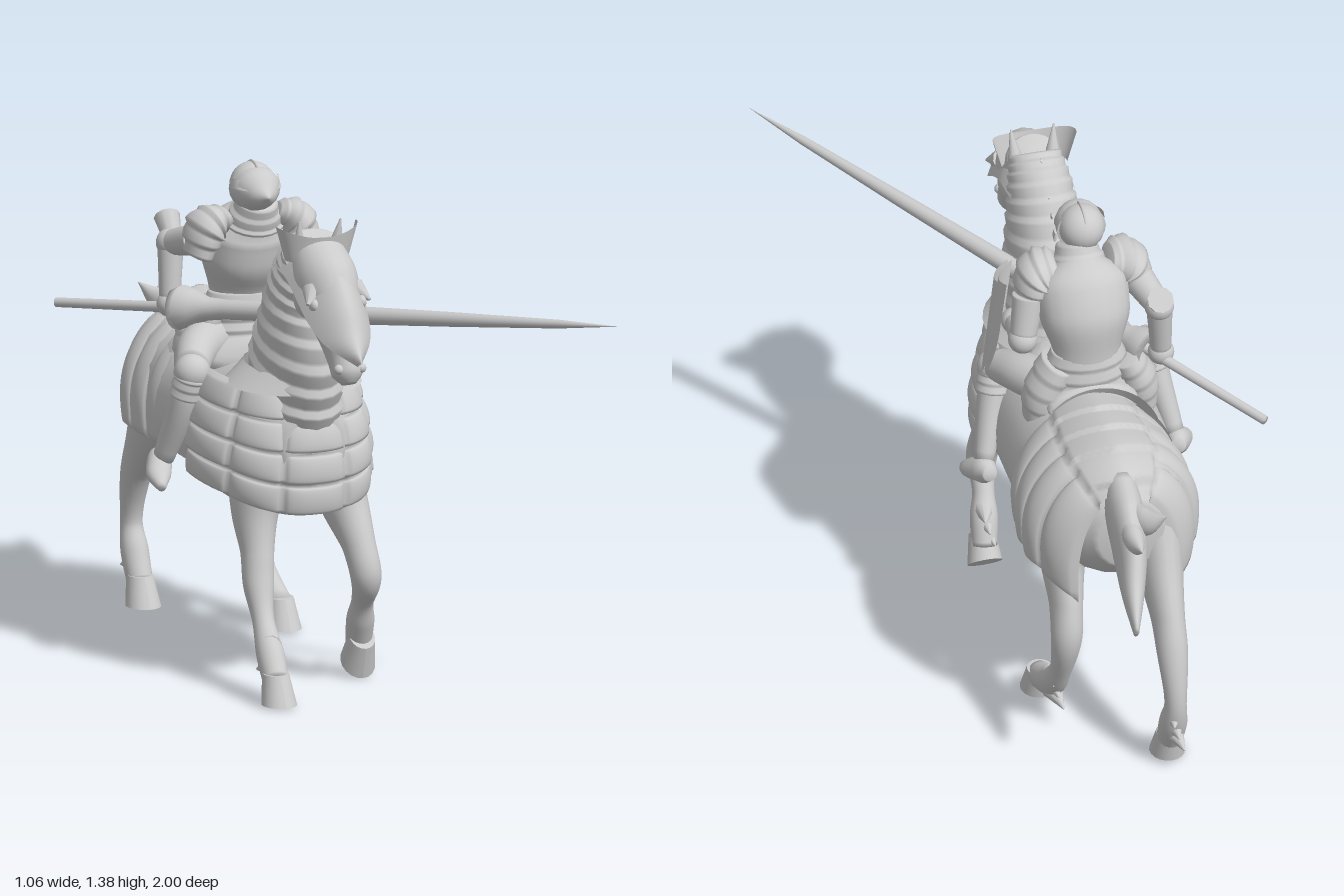
import * as THREE from 'three';

const CX = -0.115; // centre line of horse and rider
const mat = new THREE.MeshStandardMaterial({ color: 0xcccccc });
const thin = new THREE.MeshStandardMaterial({ color: 0xcccccc, side: THREE.DoubleSide });
const V = (x, y, z) => new THREE.Vector3(x, y, z);
const puff = (t, e = 0.35) => Math.pow(Math.abs(Math.sin(t * Math.PI)), e); // cushion between seams
const power = (t, e) => Math.sign(t) * Math.abs(t) ** e;

export function createModel() {
  const model = new THREE.Group();

  function add(name, geo, material = mat) {
    const m = new THREE.Mesh(geo, material);
    m.name = name;
    model.add(m);
    return m;
  }
  function build(pos, idx) {
    const g = new THREE.BufferGeometry();
    g.setAttribute('position', new THREE.Float32BufferAttribute(pos, 3));
    g.setIndex(idx);
    g.computeVertexNormals();
    return g;
  }

  // Elliptical tube through points [x, y, z, side radius, other radius]; ribs make overlapping bands
  function limb(name, pts, ribs = 0, amp = 0.08) {
    const sides = 20, path = new THREE.CatmullRomCurve3(pts.map(p => V(p[0], p[1], p[2])));
    const radii = new THREE.CatmullRomCurve3(pts.map(p => V(p[3], p[4] ?? p[3], 0)));
    const n = ribs ? ribs * 6 : (pts.length - 1) * 6, pos = [], idx = [];
    for (let i = 0; i <= n; i++) {
      const t = i / n, c = path.getPoint(t), r = radii.getPoint(t), d = path.getTangent(t);
      const side = V(1, 0, 0).addScaledVector(d, -d.x).normalize(), up = d.clone().cross(side);
      const k = ribs ? 1 + amp * ((i % 6) / 5 - 0.5) : 1;
      for (let j = 0; j < sides; j++) {
        const a = j / sides * Math.PI * 2;
        const p = c.clone().addScaledVector(side, Math.cos(a) * r.x * k).addScaledVector(up, Math.sin(a) * r.y * k);
        pos.push(p.x, p.y, p.z);
        if (i < n) {
          const A = i * sides + j, B = i * sides + (j + 1) % sides;
          idx.push(A, B, A + sides, B, B + sides, A + sides);
        }
      }
    }
    for (const e of [0, 1]) { // end caps
      const c = path.getPoint(e), k = pos.length / 3, o = e * n * sides;
      pos.push(c.x, c.y, c.z);
      for (let j = 0; j < sides; j++) {
        const A = o + j, B = o + (j + 1) % sides;
        idx.push(...(e ? [A, B, k] : [B, A, k]));
      }
    }
    return add(name, build(pos, idx));
  }
  // Limb on the centre line, points [y, z, side radius, other radius]
  const trunk = (name, pts, ribs) => limb(name, pts.map(p => [CX, ...p]), ribs);

  // Open surface from a function of u and v in 0..1
  function sheet(name, nu, nv, f) {
    const pos = [], idx = [], w = nu + 1;
    for (let j = 0; j <= nv; j++) for (let i = 0; i <= nu; i++) {
      pos.push(...f(i / nu, j / nv));
      if (i < nu && j < nv) {
        const a = j * w + i;
        idx.push(a, a + 1, a + w, a + 1, a + w + 1, a + w);
      }
    }
    return add(name, build(pos, idx), thin);
  }
  function ball(name, x, y, z, rx, ry = rx, rz = rx) {
    const m = add(name, new THREE.SphereGeometry(1, 20, 14));
    m.position.set(x, y, z);
    m.scale.set(rx, ry, rz);
  }
  function rod(name, a, b, r0, r1) {
    const d = b.clone().sub(a);
    const m = add(name, new THREE.CylinderGeometry(r1, r0, d.length(), 10));
    m.position.copy(a).addScaledVector(d, 0.5);
    m.quaternion.setFromUnitVectors(V(0, 1, 0), d.normalize());
    return m;
  }

  // Horse trunk, banded neck and head
  trunk('horseBody', [[0.68, 0.39, 0.08, 0.1], [0.68, 0.3, 0.17, 0.2], [0.655, 0.05, 0.205, 0.22],
    [0.665, -0.2, 0.2, 0.205], [0.7, -0.4, 0.205, 0.195], [0.7, -0.55, 0.18, 0.18], [0.7, -0.64, 0.09, 0.1]]);
  trunk('neckArmour', [[0.78, 0.22, 0.13, 0.195], [0.94, 0.27, 0.115, 0.18], [1.1, 0.31, 0.1, 0.125],
    [1.2, 0.36, 0.085, 0.09], [1.25, 0.4, 0.07, 0.05]], 11);
  trunk('horseHead', [[1.24, 0.4, 0.07, 0.06], [1.15, 0.475, 0.086, 0.11], [1.06, 0.56, 0.062, 0.085],
    [0.98, 0.61, 0.045, 0.058], [0.94, 0.635, 0.042, 0.045], [0.915, 0.645, 0.02, 0.02]]);

  // Face plate ending in a flared beak, and the crest behind it
  const brow = new THREE.CatmullRomCurve3([V(0.09, 1.27, 0.44), V(0.096, 1.24, 0.525), V(0.088, 1.13, 0.64),
    V(0.065, 1.06, 0.685), V(0.004, 0.995, 0.745)]);
  sheet('facePlate', 20, 20, (u, v) => {
    const p = brow.getPoint(v), s = u * 2 - 1;
    const drop = (0.12 * s * s + 0.015 * Math.abs(s)) * (1 - v * 0.85);
    return [CX + p.x * s, p.y - drop * 0.7, p.z - drop];
  });
  sheet('headCrest', 24, 5, (u, v) => {
    const a = (u - 0.5) * 3.4, r = 0.09 + 0.026 * v;
    return [CX + Math.sin(a) * r, 1.21 + v * (0.07 + 0.025 * Math.sin(a) ** 2), 0.4 + Math.cos(a) * r * 0.55];
  });
  for (const s of [-1, 1]) {
    rod('horseEar', V(CX + s * 0.05, 1.22, 0.4), V(CX + s * 0.06, 1.32, 0.425), 0.025, 0.002);
    ball('horseEye', CX + s * 0.068, 1.12, 0.56, 0.014, 0.018, 0.02);
    rod('eyeGuard', V(CX + s * 0.06, 1.15, 0.53), V(CX + s * 0.09, 1.125, 0.57), 0.03, 0.004);
    ball('nostril', CX + s * 0.032, 0.96, 0.655, 0.014);
    ball('cheek', CX + s * 0.05, 1.12, 0.46, 0.035, 0.06, 0.06);
  }
  for (let i = 0; i < 7; i++) { // mane locks along the crest
    const t = i / 6, y = 1.25 - 0.2 * t, z = 0.33 - 0.2 * t - 0.015 * Math.sin(t * Math.PI);
    rod('maneLock', V(CX, y - 0.06, z + 0.05), V(CX, y + 0.025, z - 0.005), 0.06, 0.006).scale.x = 0.35;
  }

  // Chest armour: five cushioned columns by four rows
  sheet('chestArmour', 80, 48, (u, v) => {
    const a = (u - 0.5) * 3.3, c = Math.cos(a), s = Math.sin(a);
    const out = 0.022 * puff(u * 5) * puff(v * 4, 0.2) + 0.009 * ((v * 4) % 1);
    const rx = 0.175 + 0.05 * Math.sin(v * 2) + out, rz = 0.295 + 0.035 * Math.sin(v * 2.6) + out;
    return [CX + power(s, 0.85) * rx, 0.84 - v * (0.29 + 0.06 * Math.max(c, 0) ** 2), 0.06 + power(c, 0.85) * rz];
  });
  sheet('chestCollar', 32, 4, (u, v) => {
    const a = u * Math.PI * 2;
    return [CX + Math.sin(a) * (0.125 + 0.06 * v), 0.88 - 0.05 * v, 0.22 + Math.cos(a) * (0.185 + 0.01 * v)];
  });

  // Rump armour: hanging straps joined by a raised spine plate
  sheet('rumpArmour', 60, 72, (u, v) => {
    const s = v * 2 - 1, h = Math.abs(s);
    const out = h < 0.3 ? 0.016 + 0.012 * (((u + h * 0.3) * 4) % 1) : 0.03 * puff(u * 4) * puff((h - 0.3) / 0.7, 0.2);
    const end = Math.max(0, u - 0.55) / 0.45, w = 0.195 + 0.025 * Math.sin(u * 3) - 0.07 * end * end;
    return [CX + 0.015 + Math.sign(s) * (w + out) * Math.sin(Math.min(1, h * 1.15) * Math.PI / 2),
      0.89 + 0.01 * Math.sin(u * 3) + out * (1 - h) - 0.05 * end ** 3 - 0.345 * h ** 1.7, -0.25 - 0.38 * u - out * end * 0.4];
  });

  // Horse legs: x at body and hoof, path of [y, z], hoof tilt; radii taper by one rule
  function leg(name, x0, x1, path, tilt, heavy) {
    const widths = [0.085, 0.062, 0.045, 0.042, 0.03, 0.038, 0.035];
    const pts = path.map(([y, z], i) => {
      const r = widths[i], deep = i < 3 ? heavy * (1 - i * 0.12) : 1.08;
      return [x0 + (x1 - x0) * Math.sqrt(i / 6), y, z, r, r * deep];
    });
    limb(name, pts);
    const g = new THREE.CylinderGeometry(0.036, 0.048, 0.08, 18).scale(1, 1, 1.15);
    const p = g.attributes.position;
    for (let i = 0; i < p.count; i++) p.setZ(i, p.getZ(i) - p.getY(i) * 0.35);
    g.computeVertexNormals();
    const hoof = add('hoof', g), [y, z] = path[6];
    hoof.position.set(x1, y - 0.015, z + 0.01);
    hoof.rotation.x = tilt;
    const [fx, fy, fz] = pts[5];
    for (let i = -1; i <= 1; i++) // hair behind the fetlock
      rod('fetlockHair', V(fx, fy + i * 0.028, fz), V(fx + i * 0.014, fy + i * 0.04 - 0.01, fz - 0.07), 0.03, 0.002);
  }
  leg('rightForeleg', -0.2, -0.26, [[0.62, 0.18], [0.47, 0.22], [0.37, 0.265], [0.29, 0.295], [0.2, 0.35], [0.12, 0.42], [0.06, 0.475]], 0, 1.5);
  leg('leftForeleg', -0.01, 0.065, [[0.62, 0.18], [0.48, 0.26], [0.38, 0.335], [0.3, 0.36], [0.22, 0.31], [0.16, 0.275], [0.09, 0.245]], 0.75, 1.5);
  leg('leftHindleg', 0, 0.06, [[0.7, -0.42], [0.53, -0.445], [0.42, -0.52], [0.33, -0.555], [0.2, -0.515], [0.12, -0.45], [0.06, -0.335]], 0, 1.9);
  leg('rightHindleg', -0.21, -0.205, [[0.7, -0.47], [0.55, -0.59], [0.44, -0.685], [0.36, -0.735], [0.22, -0.77], [0.14, -0.745], [0.06, -0.705]], 0, 1.9);

  // Tail with spreading locks
  limb('tail', [[-0.1, 0.85, -0.58, 0.04, 0.05], [-0.09, 0.79, -0.67, 0.05, 0.095], [-0.08, 0.74, -0.77, 0.045, 0.1],
    [-0.06, 0.68, -0.88, 0.03, 0.055], [-0.04, 0.635, -0.99, 0.008, 0.02]]);
  for (const [x, y, z] of [[-0.17, 0.87, -0.81], [-0.08, 0.83, -0.9], [-0.06, 0.74, -0.88]])
    limb('tailLock', [[-0.09, 0.81, -0.64, 0.03, 0.045], [(x - 0.08) / 2, (y + 0.78) / 2, (z - 0.7) / 2, 0.03, 0.04],
      [x, y, z, 0.002]]);

  // Saddle with raised front and back, over a blanket
  trunk('saddle', [[0.83, 0.1, 0.08, 0.06], [0.83, -0.05, 0.16, 0.05], [0.86, -0.25, 0.12, 0.06]]);
  for (const [name, z, s] of [['saddleFront', 0.09, 1], ['saddleBack', -0.22, -1]])
    sheet(name, 20, 5, (u, v) => {
      const a = (u - 0.5) * 2.6;
      return [CX + Math.sin(a) * 0.17, 0.72 + Math.cos(a) * 0.13 + v * 0.07, z + s * (0.035 * v + 0.06 * (1 - Math.cos(a)))];
    });
  sheet('saddleBlanket', 24, 6, (u, v) => {
    const a = (u - 0.5) * 3.9;
    return [CX + Math.sin(a) * 0.222, 0.65 + Math.cos(a) * 0.225, 0.08 - v * 0.33];
  });

  // Rider's body
  trunk('breastplate', [[0.84, -0.15, 0.11, 0.08], [0.98, -0.165, 0.092, 0.07], [1.1, -0.14, 0.125, 0.1],
    [1.18, -0.11, 0.125, 0.09], [1.24, -0.07, 0.05, 0.05]]);
  trunk('waistLames', [[1.0, -0.16, 0.1, 0.075], [0.92, -0.16, 0.115, 0.08], [0.85, -0.155, 0.13, 0.085]], 4);
  trunk('neckGuard', [[1.2, -0.08, 0.085, 0.075], [1.27, -0.05, 0.052, 0.055]], 3);

  // Helmet with pointed visor
  const HX = -0.13;
  ball('helmet', HX, 1.313, -0.047, 0.063, 0.064, 0.066);
  ball('helmetComb', HX, 1.322, -0.045, 0.01, 0.06, 0.064);
  limb('visor', [[HX, 1.307, -0.05, 0.068, 0.062], [HX, 1.308, -0.005, 0.064, 0.06], [HX, 1.302, 0.04, 0.038, 0.035], [HX, 1.302, 0.075, 0.004]]);
  sheet('visorBrow', 16, 3, (u, v) => {
    const a = (u - 0.5) * 3;
    return [HX + Math.sin(a) * (0.066 + 0.004 * v), 1.34 - 0.025 * v, -0.035 + Math.cos(a) * (0.055 + 0.03 * v)];
  });

  // Rider's legs and shoulder plates, mirrored
  for (const s of [-1, 1]) {
    const x = o => CX - 0.01 + s * o;
    limb('tasset', [[x(0.09), 0.96, -0.16, 0.045, 0.07], [x(0.13), 0.87, -0.16, 0.055, 0.065], [x(0.15), 0.78, -0.155, 0.035, 0.05]], 4);
    limb('thighArmour', [[x(0.09), 0.87, -0.15, 0.065], [x(0.16), 0.865, -0.06, 0.058], [x(0.21), 0.84, 0.03, 0.045]]);
    ball('kneeGuard', x(0.213), 0.83, 0.04, 0.05, 0.05, 0.048);
    limb('kneeLames', [[x(0.215), 0.82, 0.04, 0.046], [x(0.225), 0.76, 0.025, 0.046]], 3);
    limb('shinArmour', [[x(0.215), 0.83, 0.035, 0.038], [x(0.23), 0.74, 0.02, 0.038, 0.044], [x(0.265), 0.58, -0.04, 0.028, 0.033]]);
    limb('foot', [[x(0.262), 0.575, -0.1, 0.02], [x(0.27), 0.565, -0.06, 0.034, 0.038], [x(0.29), 0.54, -0.01, 0.034, 0.028],
      [x(0.3), 0.515, 0.04, 0.012]]);
    limb('shoulderLames', [[x(0.07), 1.225, -0.08, 0.03, 0.05], [x(0.125), 1.2, -0.075, 0.055, 0.08], [x(0.155), 1.12, -0.08, 0.035, 0.06]], 5, 0.14);
  }

  // Arms from shoulder, elbow and hand positions
  function arm(name, shoulder, elbow, hand) {
    limb(name + 'UpperArm', [[...shoulder, 0.045], [...elbow, 0.035]]);
    ball(name + 'ElbowGuard', ...elbow, 0.04);
    limb(name + 'Forearm', [[...elbow, 0.036], [...hand, 0.028]]);
    ball(name + 'Gauntlet', ...hand, 0.036);
  }
  arm('right', [-0.27, 1.16, -0.1], [-0.305, 1.13, -0.21], [-0.315, 0.965, -0.19]);
  arm('left', [0.03, 1.15, -0.1], [0.055, 1.03, -0.13], [0.045, 1.0, 0]);
  rod('elbowFlare', V(-0.3, 1.14, -0.21), V(-0.295, 1.19, -0.265), 0.025, 0.036);

  // Lance with flared hand guard
  const butt = V(-0.525, 0.915, -0.505), dir = V(0.528, 1.1, 1).sub(butt);
  const lance = add('lance', new THREE.LatheGeometry([[0, 0], [0.013, 0.003], [0.015, 0.44], [0.06, 0.4],
    [0.062, 0.42], [0.05, 0.46], [0.032, 0.5], [0.027, 0.56], [0.027, 0.85], [0.02, 1.3], [0.012, 1.65], [0, dir.length()]]
    .map(p => new THREE.Vector2(...p)), 20), thin);
  lance.position.copy(butt);
  lance.quaternion.setFromUnitVectors(V(0, 1, 0), dir.normalize());

  // Shield: curved plate with hollowed top edge and blunt point, front and back faces
  for (const [name, off] of [['shieldFace', 0.026], ['shieldBack', 0.014]]) {
    const shield = sheet(name, 16, 20, (u, v) => {
      const w = 0.133 * (1 - 0.08 * v) * Math.sqrt(1 - Math.max(0, v * 1.8 - 0.8) ** 2.2), x = (u * 2 - 1) * w;
      return [x, 0.11 - 0.27 * v + 0.012 * (u * 2 - 1) ** 2 * (1 - v), off - 1.6 * x * x];
    });
    shield.position.set(0.08, 1.0, 0.035);
    shield.rotation.set(-0.1, 1.22, 0.36, 'YXZ');
  }
  return model;
}
